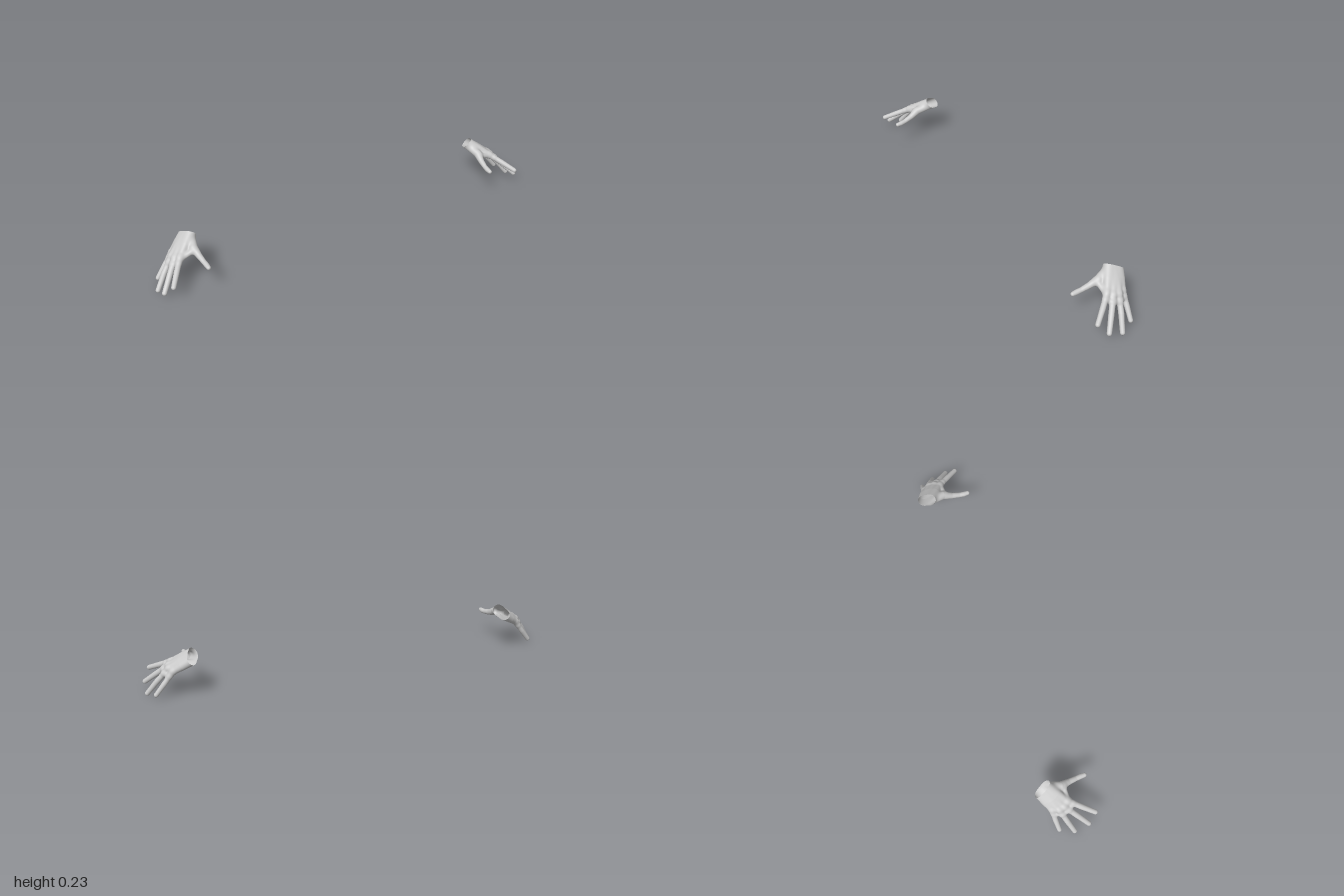
import * as THREE from 'three';

const material = new THREE.MeshStandardMaterial({ color: 0xcccccc, side: THREE.DoubleSide });
const mix = (a, b, t) => a.map((v, i) => v + (b[i] - v) * t);
const move = (p, dir, s) => p.map((v, i) => v + dir[i] * s);
const dot = (a, b) => a[0] * b[0] + a[1] * b[1] + a[2] * b[2];

// Wrist centre, forearm direction, direction across the wrist and normal of its open end
const WRIST = [0.787, 0.204, -0.091];
const ALONG = [0.74, -0.43, 0.52];
const ACROSS = [-0.36, 0.42, 0.83];
const OPENING = [-0.55, 0.62, -0.55];

// Knuckle, middle joint and tip of each finger, its radius and where its bone meets the wrist
const FINGERS = [
  ['indexFinger', [0.868, 0.154, 0.001], [0.912, 0.121, 0.057], [0.953, 0.090, 0.112], 0.0136, 0.025],
  ['middleFinger', [0.885, 0.145, -0.021], [0.936, 0.092, 0.026], [0.984, 0.041, 0.070], 0.0138, 0.008],
  ['ringFinger', [0.890, 0.141, -0.047], [0.943, 0.076, -0.024], [0.9885, 0.0115, -0.001], 0.0136, -0.008],
  ['littleFinger', [0.877, 0.137, -0.077], [0.920, 0.079, -0.073], [0.960, 0.027, -0.067], 0.0128, -0.025],
];

// Each bone is a chain of spheres [x, y, z, radius] joined by cones
const BONES = [
  { part: 'thumb', chain: [
    [0.777, 0.201, -0.080, 0.019], [0.797, 0.178, -0.005, 0.020], [0.790, 0.157, 0.040, 0.0145],
    [0.785, 0.146, 0.080, 0.012], [0.783, 0.143, 0.103, 0.0125], [0.783, 0.142, 0.123, 0.0108]] },
  // Web of skin between thumb and index finger
  { part: 'palm', chain: [[0.802, 0.172, 0.006, 0.013], [0.866, 0.149, 0.006, 0.012]] },
];
FINGERS.forEach(([part, knuckle, joint, tip, r, offset], i) => {
  const start = move(WRIST, ACROSS, offset);
  BONES.push({ part: 'palm', chain: [
    [...move(start, ALONG, -0.06), 0.024], [...start, 0.024],
    [...mix(start, knuckle, 0.5), 0.021], [...knuckle, 0.0148]] });
  BONES.push({ part, chain: [
    [...knuckle, r], [...mix(knuckle, joint, 0.5), r * 0.98], [...joint, r],
    [...mix(joint, tip, 0.5), r * 0.92], [...tip, r * 0.87]] });
  // Web of skin to the next finger
  if (i < 3) {
    const next = FINGERS[i + 1];
    BONES.push({ part: 'palm', chain: [
      [...mix(knuckle, joint, 0.38), 0.0095], [...mix(next[1], next[2], 0.38), 0.0095]] });
  }
});

// Distance from a point to the skin of one bone
function boneDistance(chain, x, y, z) {
  let best = Infinity;
  for (let i = 1; i < chain.length; i++) {
    const a = chain[i - 1], b = chain[i];
    const dx = b[0] - a[0], dy = b[1] - a[1], dz = b[2] - a[2];
    const px = x - a[0], py = y - a[1], pz = z - a[2];
    const along = (px * dx + py * dy + pz * dz) / (dx * dx + dy * dy + dz * dz);
    const t = Math.min(1, Math.max(0, along));
    const ex = px - dx * t, ey = py - dy * t, ez = pz - dz * t;
    best = Math.min(best, Math.sqrt(ex * ex + ey * ey + ez * ez) - a[3] - (b[3] - a[3]) * t);
  }
  return best;
}

// Distance to the whole hand, with the bones blended softly into each other
const BLEND = 0.014;
function handDistance(x, y, z) {
  let d = Infinity;
  for (const { chain } of BONES) {
    const e = boneDistance(chain, x, y, z);
    const h = Math.max(0, BLEND - Math.abs(d - e));
    d = Math.min(d, e) - h * h / (4 * BLEND);
  }
  return d;
}

function nearestPart(p) {
  let best = Infinity, name;
  for (const { part, chain } of BONES) {
    const d = boneDistance(chain, ...p);
    if (d < best) [best, name] = [d, part];
  }
  return name;
}

function skinNormal([x, y, z]) {
  const e = 0.001;
  return new THREE.Vector3(
    handDistance(x + e, y, z) - handDistance(x - e, y, z),
    handDistance(x, y + e, z) - handDistance(x, y - e, z),
    handDistance(x, y, z + e) - handDistance(x, y, z - e)).normalize();
}

// Wraps a skin of quads around the bones; returns the quads of each part
function makeSkin() {
  const cell = 0.0045, origin = [0.72, -0.02, -0.18], count = [66, 67, 74];
  const stride = [1, count[0], count[0] * count[1]];
  const values = new Float32Array(count[0] * count[1] * count[2]);
  const eachPoint = (visit) => {
    for (let k = 0, n = 0; k < count[2]; k++)
      for (let j = 0; j < count[1]; j++)
        for (let i = 0; i < count[0]; i++, n++) visit([i, j, k], n);
  };
  eachPoint((g, n) => { values[n] = handDistance(...g.map((v, i) => origin[i] + v * cell)); });

  // One point per grid cell: the average of the places where the skin crosses its edges
  const points = new Map();
  function cellPoint(g, n) {
    if (points.has(n)) return points.get(n);
    const sum = [0, 0, 0];
    let hits = 0;
    for (let corner = 0; corner < 8; corner++) {
      const bits = [corner & 1, (corner >> 1) & 1, corner >> 2];
      const m = n + dot(bits, stride);
      for (let axis = 0; axis < 3; axis++) {
        const a = values[m], b = values[m + stride[axis]];
        if (bits[axis] || (a < 0) === (b < 0)) continue;
        for (let i = 0; i < 3; i++) sum[i] += bits[i] + (i === axis ? a / (a - b) : 0);
        hits++;
      }
    }
    const position = sum.map((v, i) => origin[i] + (g[i] + v / hits) * cell);
    const beyond = dot(OPENING, position) - dot(OPENING, WRIST);
    const point = { position, beyond, normal: skinNormal(position), id: n };
    // Trim the wrist to a clean open edge
    if (beyond > 0) point.position = move(position, ALONG, -beyond / dot(OPENING, ALONG));
    points.set(n, point);
    return point;
  }

  const parts = {};
  eachPoint((g, n) => {
    if (g.some((v, i) => v < 1 || v > count[i] - 3)) return;
    for (let axis = 0; axis < 3; axis++) {
      const inside = values[n] < 0;
      if (inside === (values[n + stride[axis]] < 0)) continue;
      const u = (axis + 1) % 3, v = (axis + 2) % 3;
      const quad = [[0, 0], [1, 0], [1, 1], [0, 1]].map(([du, dv]) => {
        const c = [...g];
        c[u] -= du;
        c[v] -= dv;
        return cellPoint(c, dot(c, stride));
      });
      if (quad.every(p => p.beyond > 0)) continue;
      if (!inside) quad.reverse();
      (parts[nearestPart(quad[0].position)] ??= []).push(quad);
    }
  });
  return parts;
}

function makePart(name, quads, side) {
  const positions = [], normals = [], index = [], ids = new Map();
  for (const quad of quads) {
    const [a, b, c, d] = quad.map(({ id, position, normal }) => {
      if (!ids.has(id)) {
        ids.set(id, ids.size);
        positions.push(position[0] * side, position[1], position[2]);
        normals.push(normal.x * side, normal.y, normal.z);
      }
      return ids.get(id);
    });
    if (side > 0) index.push(a, b, c, a, c, d);
    else index.push(a, c, b, a, d, c);
  }
  const geometry = new THREE.BufferGeometry();
  geometry.setAttribute('position', new THREE.Float32BufferAttribute(positions, 3));
  geometry.setAttribute('normal', new THREE.Float32BufferAttribute(normals, 3));
  geometry.setIndex(index);
  const mesh = new THREE.Mesh(geometry, material);
  mesh.name = name;
  return mesh;
}

export function createModel() {
  const model = new THREE.Group();
  model.name = 'hands';
  const skin = makeSkin();
  for (const [name, side] of [['leftHand', 1], ['rightHand', -1]]) {
    const hand = new THREE.Group();
    hand.name = name;
    for (const part in skin) hand.add(makePart(part, skin[part], side));
    model.add(hand);
  }
  return model;
}
